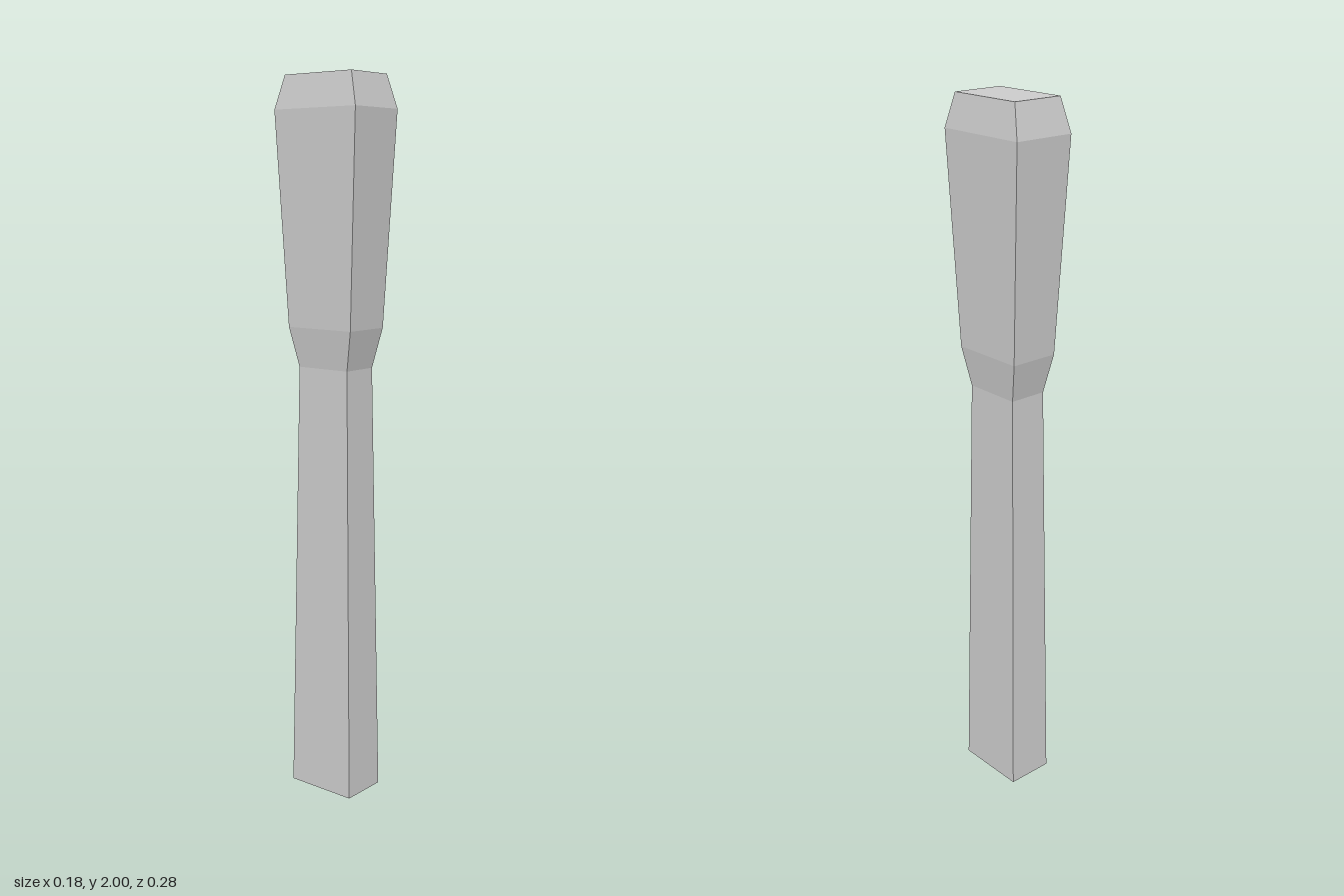
import * as THREE from 'three';

// Rectangular cross-sections from bottom to top: [height, half width, half depth]
const sections = [
  [0, 0.068, 0.105],    // handle foot
  [1.22, 0.055, 0.084], // handle neck
  [1.33, 0.071, 0.108], // flare into the head
  [1.91, 0.09, 0.138],  // widest part of the head
  [2, 0.075, 0.113],    // bevelled top
];

// Shape a segmented unit box so each row of vertices follows its section
function sectionedBox(rows) {
  const last = rows.length - 1;
  const geometry = new THREE.BoxGeometry(1, 1, 1, 1, last, 1);
  const pos = geometry.attributes.position;
  for (let i = 0; i < pos.count; i++) {
    const [y, halfX, halfZ] = rows[Math.round((pos.getY(i) + 0.5) * last)];
    pos.setXYZ(i, Math.sign(pos.getX(i)) * halfX, y, Math.sign(pos.getZ(i)) * halfZ);
  }
  geometry.computeVertexNormals();
  return geometry;
}

export function createModel() {
  const group = new THREE.Group();
  group.name = 'club';

  // Tapered handle and head as one closed body
  const material = new THREE.MeshStandardMaterial({ color: 0xcccccc, flatShading: true });
  const body = new THREE.Mesh(sectionedBox(sections), material);
  body.name = 'handleAndHead';
  group.add(body);

  return group;
}
